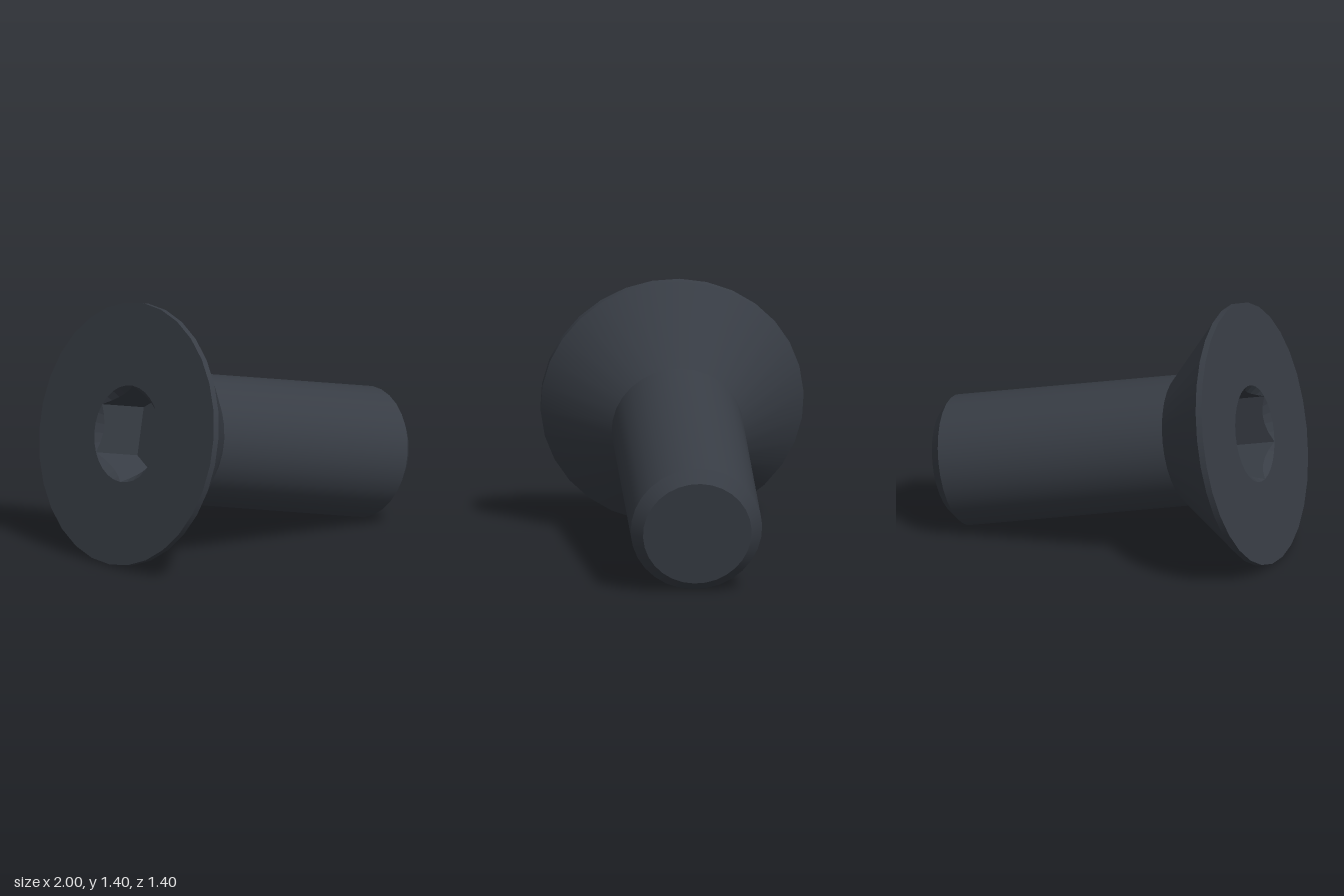
import * as THREE from 'three';

const SIDES = 30;
const HEAD_R = 0.714, SHAFT_R = 0.357, SOCKET_R = 0.263;
const RIM = 0.035, NECK = RIM + HEAD_R - SHAFT_R, CHAMFER = 0.062, LENGTH = 1.78;
const SOCKET_DEPTH = 0.3;

// Hexagonal recess with a conical lead-in that scallops each wall
function socketGeometry() {
  const pos = [];
  const point = (phi, [r, y]) => [r * Math.sin(phi), y, r * Math.cos(phi)];
  const apothem = SOCKET_R * Math.cos(Math.PI / 6);
  const profile = (i) => {
    const phi = (i / SIDES) * Math.PI * 2;
    const offset = ((i % 5) / 5) * (Math.PI / 3) - Math.PI / 6;
    const r = apothem / Math.cos(offset);
    return [[0, SOCKET_DEPTH], [r, SOCKET_DEPTH], [r, SOCKET_R - r], [SOCKET_R, 0]]
      .map((p) => point(phi, p));
  };
  for (let i = 0; i < SIDES; i++) {
    const p = profile(i), q = profile(i + 1);
    for (let j = 0; j < 3; j++) {
      pos.push(...p[j], ...q[j], ...q[j + 1], ...p[j], ...q[j + 1], ...p[j + 1]);
    }
  }
  const geo = new THREE.BufferGeometry();
  geo.setAttribute('position', new THREE.Float32BufferAttribute(pos, 3));
  geo.computeVertexNormals();
  return geo;
}

export function createModel() {
  const model = new THREE.Group();
  model.name = 'countersunkScrew';
  const steel = new THREE.MeshStandardMaterial({ color: 0x383d45 });
  steel.name = 'dark steel';

  const add = (name, geo) => {
    const mesh = new THREE.Mesh(geo, steel);
    mesh.name = name;
    model.add(mesh);
  };
  // Each band is turned separately so the edges between bands stay sharp
  const band = (name, r0, y0, r1, y1) => add(name, new THREE.LatheGeometry(
    [new THREE.Vector2(r0, y0), new THREE.Vector2(r1, y1)], SIDES));

  // Head
  add('hexSocket', socketGeometry());
  band('headFace', SOCKET_R, 0, HEAD_R, 0);
  band('headRim', HEAD_R, 0, HEAD_R, RIM);
  band('headCone', HEAD_R, RIM, SHAFT_R, NECK);

  // Shaft
  band('shaft', SHAFT_R, NECK, SHAFT_R, LENGTH - CHAMFER);
  band('tipChamfer', SHAFT_R, LENGTH - CHAMFER, SHAFT_R - CHAMFER, LENGTH);
  band('tipFace', SHAFT_R - CHAMFER, LENGTH, 0, LENGTH);

  // Lay the screw along its tilted axis, resting on the ground
  const axis = new THREE.Vector3(1, -0.217, 0.217).normalize();
  const up = new THREE.Vector3(0, 0, 1).cross(axis).normalize();
  const side = axis.clone().cross(up);
  model.quaternion.setFromRotationMatrix(new THREE.Matrix4().makeBasis(side, axis, up));
  model.position.set(-0.79, 0.706, -0.004);

  const root = new THREE.Group();
  root.name = 'screw';
  root.add(model);
  return root;
}
